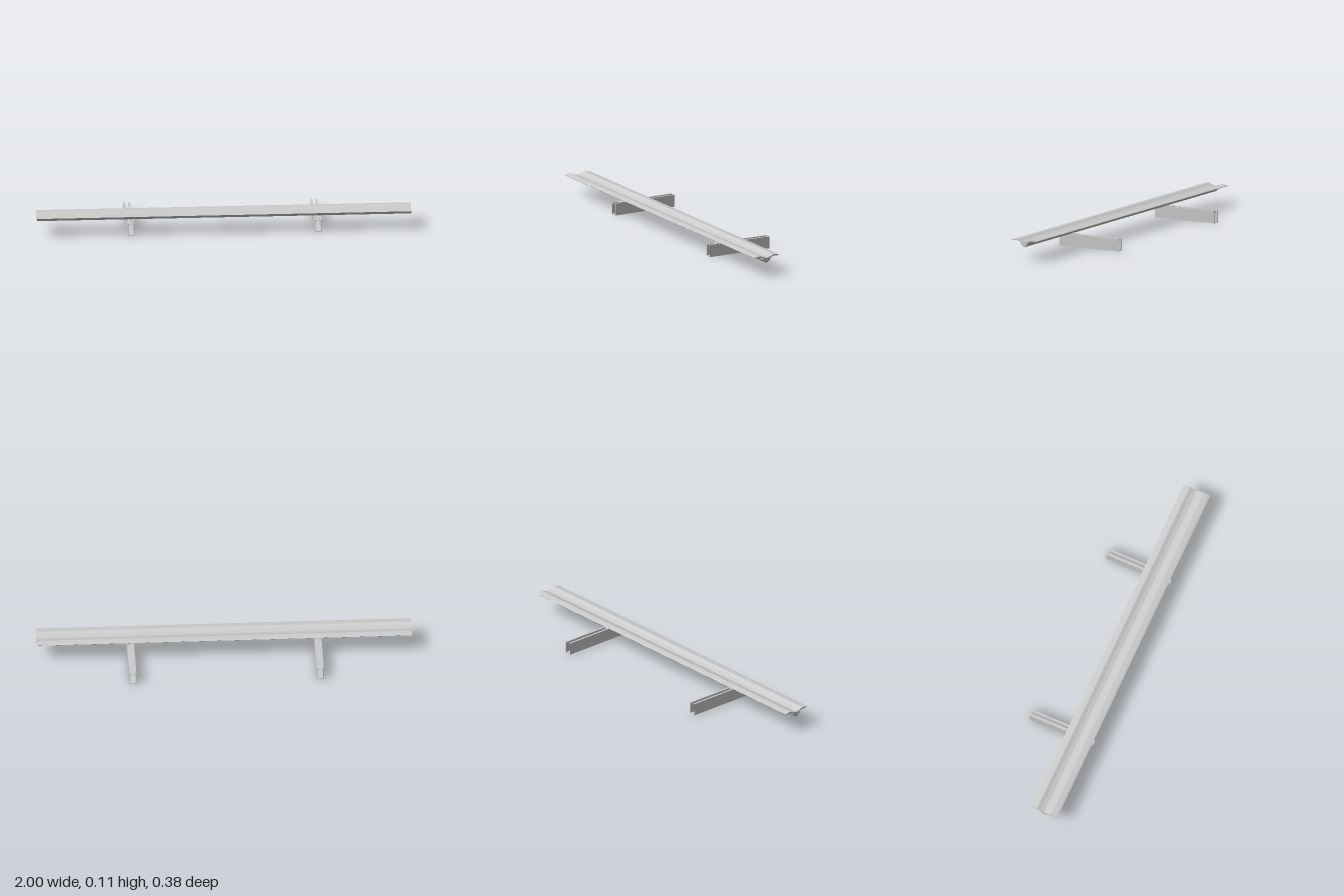
import * as THREE from 'three';

const RAIL_X = 0.5, BEAM_Z = 0.111;
const material = new THREE.MeshStandardMaterial({ color: 0xcccccc });

// Extrude a closed outline along z, from z0 to z1
function extrudeOutline(points, z0, z1) {
  const shape = new THREE.Shape(points.map(([x, y]) => new THREE.Vector2(x, y)));
  const geometry = new THREE.ExtrudeGeometry(shape, { depth: z1 - z0, bevelEnabled: false });
  return geometry.translate(0, 0, z0);
}

function addMesh(parent, name, geometry, x = 0, y = 0, z = 0) {
  const mesh = new THREE.Mesh(geometry, material);
  mesh.name = name;
  mesh.position.set(x, y, z);
  parent.add(mesh);
  return mesh;
}

// Mirror a half outline (listed from one end on the axis to the other)
function mirrored(half) {
  const other = half.filter(([x]) => x > 0).map(([x, y]) => [-x, y]).reverse();
  return [...half, ...other];
}

export function createModel() {
  const model = new THREE.Group();
  model.name = 'railWithSupports';

  // Gull-wing beam: funnel foot below, drooping wings above, valley in the middle
  const beamHalf = [
    [0, 0.069], [0.004, 0.071], [0.021, 0.087], [0.023, 0.098], [0.045, 0.104],
    [0.074, 0.103], [0.077, 0.106], [0.066, 0.109], [0.041, 0.112], [0.021, 0.103], [0, 0.098],
  ];
  const beam = addMesh(model, 'wingedBeam', extrudeOutline(mirrored(beamHalf), -1, 1), 0, 0, BEAM_Z);
  beam.rotation.y = Math.PI / 2;

  // Slotted channel with inward-turned lips
  const channelHalf = [
    [0, 0], [0.0185, 0], [0.0185, 0.066], [0.008, 0.066], [0.008, 0.056],
    [0.0105, 0.056], [0.0105, 0.063], [0.0155, 0.063], [0.0155, 0.003], [0, 0.003],
  ];
  const channelGeometry = extrudeOutline(mirrored(channelHalf), -0.187, 0.179);

  for (const side of [-1, 1]) {
    const support = new THREE.Group();
    support.name = side > 0 ? 'leftSupport' : 'rightSupport';
    support.position.x = side * RAIL_X;
    addMesh(support, 'slottedChannel', channelGeometry);

    // Clamp joining the beam to the channel
    addMesh(support, 'clampPlate', new THREE.BoxGeometry(0.036, 0.002, 0.064), 0, 0.067, BEAM_Z);
    addMesh(support, 'clampStud', new THREE.CylinderGeometry(0.005, 0.005, 0.014, 12), 0, 0.064, BEAM_Z);
    addMesh(support, 'clampWasher', new THREE.CylinderGeometry(0.014, 0.014, 0.003, 20), 0, 0.072, BEAM_Z);
    model.add(support);
  }
  return model;
}
